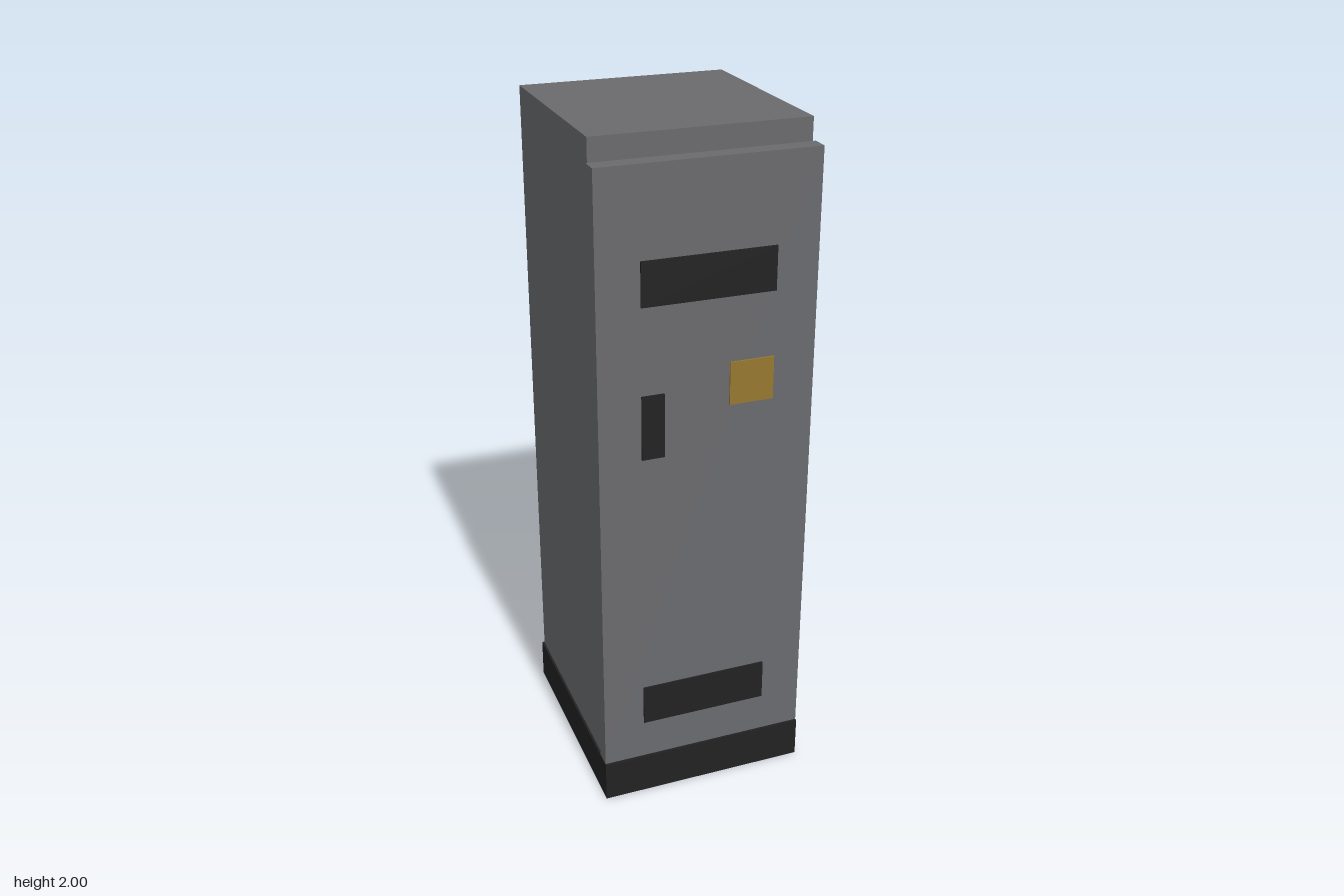
import * as THREE from 'three';

const material = (name, color) => {
  const m = new THREE.MeshStandardMaterial({ color });
  m.name = name;
  return m;
};

export function createModel() {
  const model = new THREE.Group();
  model.name = 'cabinet';
  const grey = material('greyMetal', 0x6a6b6e);
  const black = material('blackTrim', 0x222222);
  const yellow = material('yellowLabel', 0x967830);

  const add = (name, geometry, mat) => {
    const mesh = new THREE.Mesh(geometry, mat);
    mesh.name = name;
    model.add(mesh);
    return mesh;
  };

  // Box given by its extents on each axis
  const box = (name, mat, [x0, x1], [y0, y1], [z0, z1]) => {
    const mesh = add(name, new THREE.BoxGeometry(x1 - x0, y1 - y0, z1 - z0), mat);
    mesh.position.set((x0 + x1) / 2, (y0 + y1) / 2, (z0 + z1) / 2);
  };

  // Rectangle outline on the floor plan (shape y is -z)
  const outline = (PathType, [x0, x1], [z0, z1]) => new PathType([
    new THREE.Vector2(x0, -z1), new THREE.Vector2(x1, -z1),
    new THREE.Vector2(x1, -z0), new THREE.Vector2(x0, -z0),
  ]);

  // Upright rectangular ring standing on the floor
  const ring = (name, mat, outerX, outerZ, innerX, innerZ, height) => {
    const shape = outline(THREE.Shape, outerX, outerZ);
    shape.holes.push(outline(THREE.Path, innerX, innerZ));
    const geometry = new THREE.ExtrudeGeometry(shape, { depth: height, bevelEnabled: false });
    add(name, geometry.rotateX(-Math.PI / 2), mat);
  };

  const bodyX = [-0.306, 0.306], bodyZ = [-0.3375, 0.281];
  const linerX = [-0.303, 0.303], linerZ = [-0.3345, 0.278];
  const plinthHeight = 0.125;

  // Plinth, open underneath, with the grey body walls lining its recess
  ring('plinth', black, [-0.3125, 0.3125], [-0.3435, 0.3435], bodyX, bodyZ, plinthHeight);
  ring('recessLining', grey, bodyX, bodyZ, linerX, linerZ, plinthHeight - 0.001);
  box('recessCeiling', black, linerX, [plinthHeight - 0.005, plinthHeight - 0.001], linerZ);

  // Cabinet body and the door standing just clear of it
  box('body', grey, bodyX, [plinthHeight - 0.001, 2], bodyZ);
  box('door', grey, [-0.3115, 0.3115], [0.127, 1.9375], [0.2875, 0.3385]);

  // Fittings passing through the door
  const fittingZ = [0.281, 0.3435];
  box('upperVent', black, [-0.19, 0.19], [1.5625, 1.6875], fittingZ);
  box('lowerVent', black, [-0.19, 0.19], [0.25, 0.375], fittingZ);
  box('handle', black, [-0.19, -0.125], [1.125, 1.3125], fittingZ);
  box('warningLabel', yellow, [0.0625, 0.19], [1.25, 1.375], fittingZ);

  return model;
}
